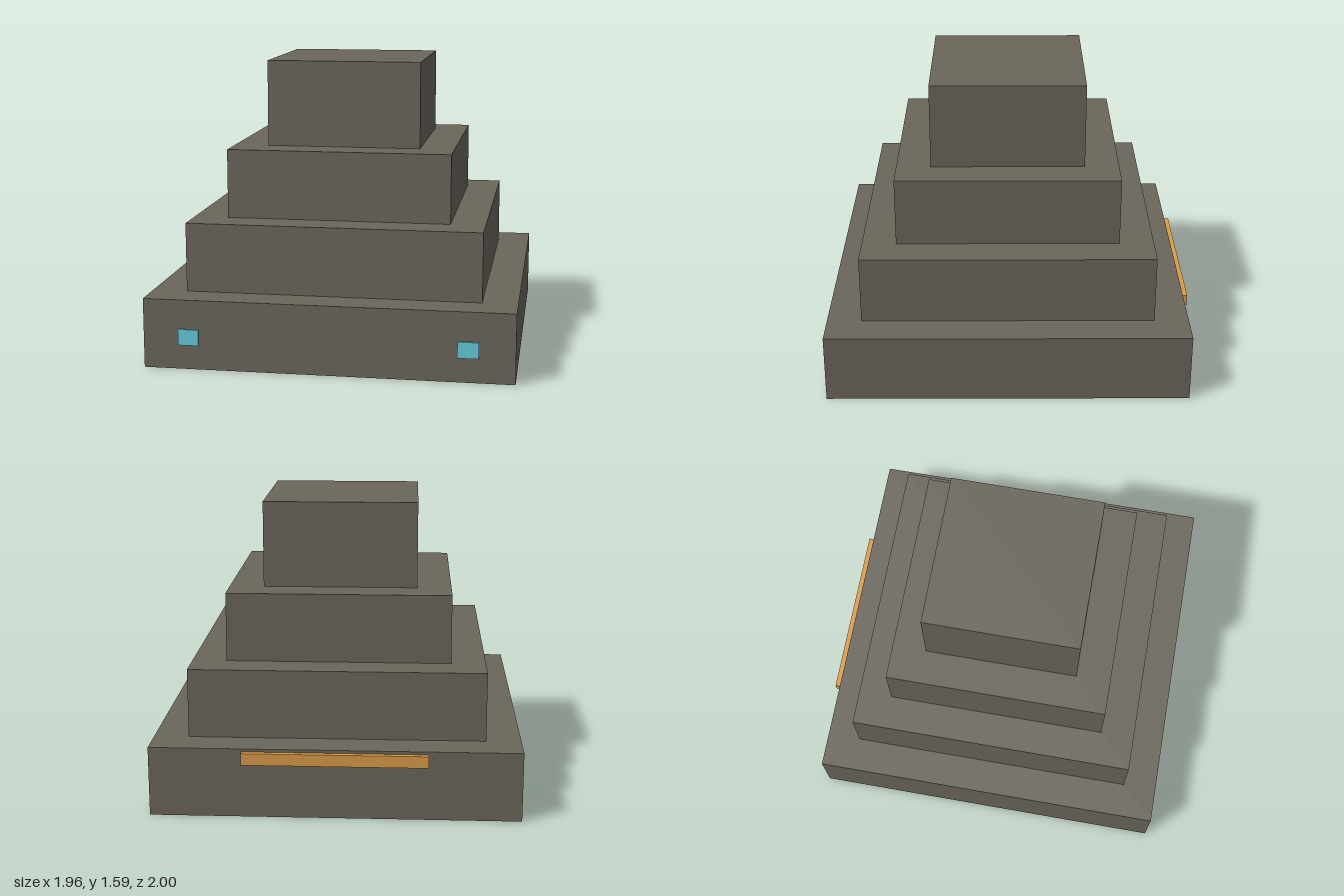
import * as THREE from 'three';

const STONE = new THREE.MeshStandardMaterial({ color: 0x6b665c });
const BLUE = new THREE.MeshStandardMaterial({ color: 0x66ccdf });
const AMBER = new THREE.MeshStandardMaterial({ color: 0xdb9c47 });

export function createModel() {
  const group = new THREE.Group();

  // Box given by its size and centre
  const addBox = (name, material, size, centre) => {
    const mesh = new THREE.Mesh(new THREE.BoxGeometry(...size), material);
    mesh.name = name;
    mesh.position.set(...centre);
    group.add(mesh);
  };

  // Stepped tiers: half width, bottom, top
  const tierZ = 0.01;
  const tiers = [
    ['baseTier', 0.981, 0, 0.375],
    ['secondTier', 0.794, 0.375, 0.748],
    ['thirdTier', 0.607, 0.748, 1.122],
    ['topBlock', 0.42, 1.122, 1.59],
  ];
  for (const [name, half, y0, y1] of tiers) {
    addBox(name, STONE, [2 * half, y1 - y0, 2 * half], [0, (y0 + y1) / 2, tierZ]);
  }

  // Pair of small panels on the front of the base
  for (const [side, s] of [['left', 1], ['right', -1]]) {
    addBox(`${side}FrontPanel`, BLUE, [0.11, 0.086, 0.03], [s * 0.737, 0.174, 0.985]);
  }

  // Long bar across the back of the base
  addBox('rearBar', AMBER, [0.98, 0.064, 0.04], [0, 0.327, -0.98]);

  return group;
}
